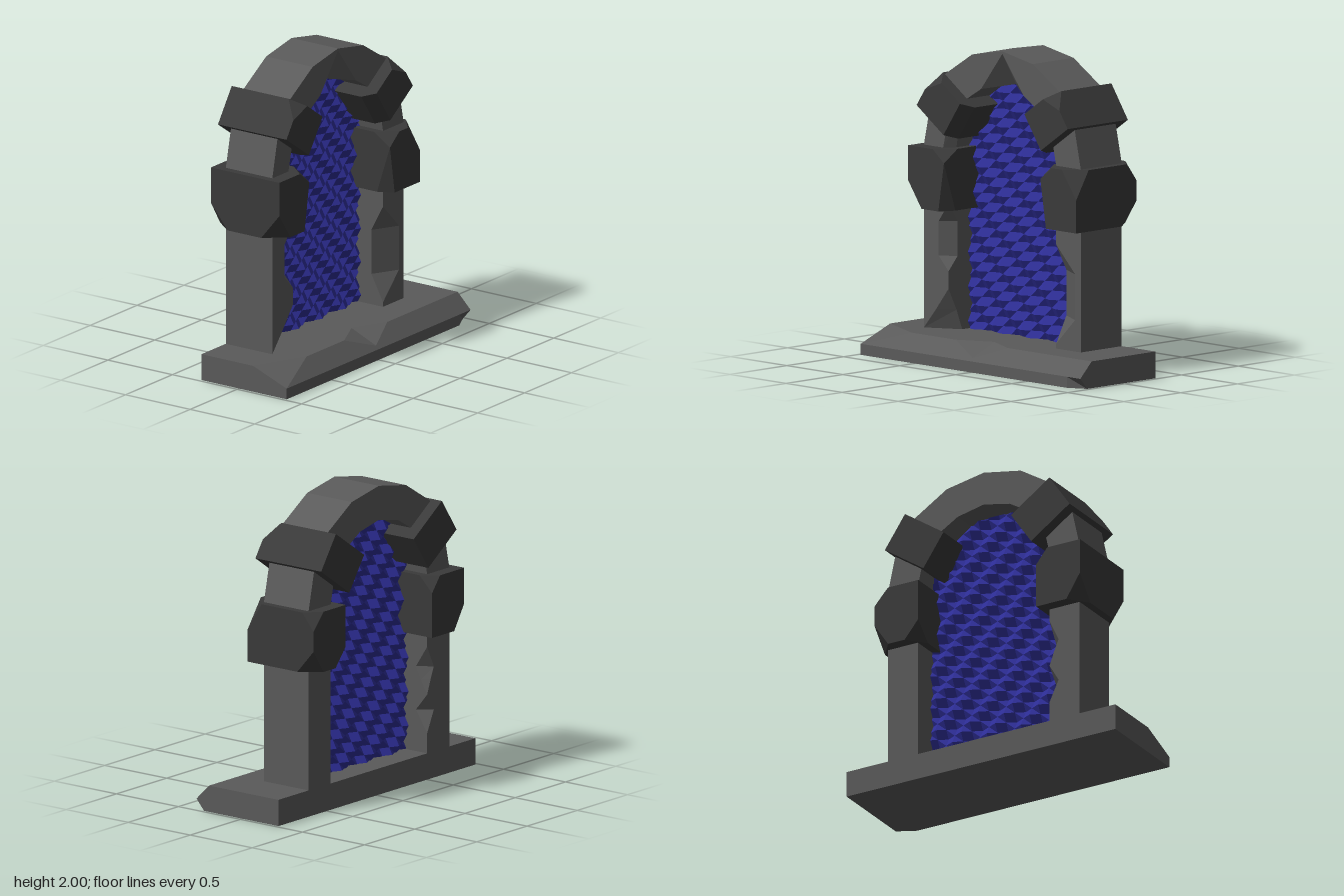
import * as THREE from 'three';
import { ConvexGeometry } from 'three/addons/geometries/ConvexGeometry.js';

const mat = (color, side = THREE.FrontSide) =>
  new THREE.MeshStandardMaterial({ color, flatShading: true, side });
const stone = mat(0x5a5a5a), darkStone = mat(0x3a3a3a);
const water = mat(0x2e2e98, THREE.DoubleSide);

const CX = -0.02, BACK = -0.29, FRONT = 0.07, SPRING = 1.33, FLOOR = 0.17;

function mesh(name, geometry, material) {
  const m = new THREE.Mesh(geometry, material);
  m.name = name;
  return m;
}

function buildGeometry(triangles) {
  const g = new THREE.BufferGeometry();
  g.setAttribute('position', new THREE.Float32BufferAttribute(triangles.flat(2), 3));
  g.computeVertexNormals();
  return g;
}

// Skin a row of equal-sized rings and cap both ends
function loft(rings) {
  const tris = [], n = rings[0].length;
  for (let i = 0; i < rings.length - 1; i++) {
    for (let j = 0; j < n; j++) {
      const k = (j + 1) % n;
      const a = rings[i][j], b = rings[i][k], c = rings[i + 1][k], d = rings[i + 1][j];
      tris.push([a, b, c], [a, c, d]);
    }
  }
  const first = rings[0], last = rings[rings.length - 1];
  for (let j = 1; j < n - 1; j++) {
    tris.push([first[0], first[j + 1], first[j]], [last[0], last[j], last[j + 1]]);
  }
  return buildGeometry(tris);
}

// Box with chipped corners; chip = [signX, signY, signZ, cutX, cutY, cutZ]
function chippedBlock(w, h, d, chips, mirror) {
  const points = [];
  for (const sx of [-1, 1]) for (const sy of [-1, 1]) for (const sz of [-1, 1]) {
    const p = [sx * w / 2, sy * h / 2, sz * d / 2];
    const chip = chips.find(c => c[0] === sx && c[1] === sy && c[2] === sz);
    const corners = [];
    if (!chip) corners.push(p);
    else for (let axis = 0; axis < 3; axis++) {
      if (!chip[3 + axis]) continue;
      const q = [...p];
      q[axis] -= chip[axis] * chip[3 + axis];
      corners.push(q);
    }
    for (const q of corners) points.push(new THREE.Vector3(q[0] * mirror, q[1], q[2]));
  }
  return new ConvexGeometry(points);
}

// Base slab: sections along x, [x, topZ, midY, midZ, bottomZ]
function baseSlab() {
  const rows = [
    [-0.98, 0.11, 0.07, 0.37, 0.37],
    [-0.63, 0.27, FLOOR, 0.27, 0.37],
    [-0.23, 0.27, FLOOR, 0.27, 0.37],
    [0, 0.16, 0.09, 0.35, 0.37],
    [0.23, 0.27, FLOOR, 0.27, 0.37],
    [0.86, 0.27, FLOOR, 0.27, 0.37],
    [0.98, 0.27, FLOOR, 0.27, 0.31],
  ];
  return loft(rows.map(([x, topZ, midY, midZ, bottomZ]) => [
    [x, FLOOR, BACK], [x, FLOOR, topZ], [x, midY, midZ],
    [x, 0.07, 0.37], [x, 0, bottomZ], [x, 0, BACK],
  ]));
}

// Arch ring: offsets from the spring line centre
const outerArc = [[0.7, 0], [0.64, 0.27], [0.51, 0.47], [0.27, 0.62], [0, 0.67]];
const innerArc = [[0.48, 0], [0.44, 0.18], [0.34, 0.32], [0.19, 0.41], [0, 0.45]];

function archRing() {
  // chip = [front share of the width, front depth, back share, back depth]
  const section = (o, i, [fc, fd, bc, bd] = [0, 0, 0, 0]) => {
    const mix = t => [i[0] + (o[0] - i[0]) * t, i[1] + (o[1] - i[1]) * t];
    return [
      [...o, BACK], [...o, FRONT], [...mix(fc), FRONT],
      [...i, FRONT - fd], [...i, BACK + bd], [...mix(bc), BACK],
    ];
  };
  const pillar = (s, rows) => rows.map(([y, ...chip]) =>
    section([CX + s * 0.7, y], [CX + s * 0.48, y], chip));
  const arc = (s, k, chip) => section(
    [CX + s * outerArc[k][0], SPRING + outerArc[k][1]],
    [CX + s * innerArc[k][0], SPRING + innerArc[k][1]], chip);
  const left = pillar(-1, [
    [0.17, 1, 0.12, 0, 0], [0.3, 0.5, 0.07, 0, 0], [0.44, 0, 0, 0.3, 0.09],
    [0.55, 0, 0, 0, 0], [0.64, 0.4, 0.08, 0.15, 0.05], [0.72, 0.4, 0.08, 0.3, 0.09],
    [0.86, 0.4, 0.08, 0, 0], [0.98, 0, 0, 0, 0], [1.2, 0.2, 0.06, 0, 0],
  ]);
  const right = pillar(1, [
    [1.2, 0, 0, 0, 0], [0.83, 0, 0, 0, 0], [0.66, 0.77, 0.09, 0, 0],
    [0.37, 0.77, 0.09, 0, 0], [0.2, 0, 0, 0, 0], [0.17, 0, 0, 0, 0],
  ]);
  return loft([
    ...left,
    arc(-1, 0, [0.22, 0.07, 0, 0]), arc(-1, 1, [0.2, 0.06, 0, 0]), arc(-1, 2), arc(-1, 3),
    arc(1, 4, [0.93, 0.12, 0, 0]),
    arc(1, 3), arc(1, 2), arc(1, 1), arc(1, 0),
    ...right,
  ]);
}

// Height of the opening at x
function openingTop(x) {
  const u = Math.min(Math.abs(x - CX), 0.48);
  for (let k = 0; k < 4; k++) {
    const [x0, y0] = innerArc[k], [x1, y1] = innerArc[k + 1];
    if (u >= x1) return SPRING + y0 + (y1 - y0) * (x0 - u) / (x0 - x1);
  }
  return SPRING;
}

// Rippled sheet with diagonal steps, trimmed inside the arch
function ripples() {
  const cols = 16, rows = 30, dx = 1 / cols, dy = 0.055, tris = [];
  const limit = i => openingTop(-0.52 + i * dx) + 0.04;
  const point = (i, j) => [
    -0.52 + i * dx,
    Math.min(FLOOR - 0.01 + j * dy, limit(i)),
    -0.12 + 0.03 * Math.sin((i + j) * Math.PI / 2),
  ];
  for (let i = 0; i < cols; i++) for (let j = 0; j < rows; j++) {
    if (FLOOR - 0.01 + j * dy > Math.max(limit(i), limit(i + 1))) continue;
    const a = point(i, j), b = point(i + 1, j), c = point(i + 1, j + 1), d = point(i, j + 1);
    tris.push([a, b, c], [a, c, d]);
  }
  return buildGeometry(tris);
}

export function createModel() {
  const group = new THREE.Group();
  group.add(mesh('baseSlab', baseSlab(), stone));
  group.add(mesh('archRing', archRing(), stone));
  group.add(mesh('waterSheet', ripples(), water));

  // Side blocks; chips are given with +x pointing outward
  const innerEdge = [[-1, -1, 1, 0.05, 0, 0.1], [-1, 1, 1, 0.1, 0.08, 0.12]];
  const lowerChips = {
    1: [...innerEdge, [1, 1, 1, 0.13, 0.18, 0.11], [1, 1, -1, 0.1, 0.11, 0.09],
      [1, -1, -1, 0.1, 0.15, 0.13], [-1, -1, -1, 0.1, 0.12, 0.12]],
    [-1]: [...innerEdge, [1, -1, 1, 0.12, 0.17, 0.14], [1, -1, -1, 0.1, 0.16, 0.13],
      [-1, 1, -1, 0.08, 0.1, 0.1]],
  };
  const upperChips = [
    [-1, -1, 1, 0.05, 0, 0.09], [-1, 1, 1, 0.05, 0, 0.09], [1, 1, 1, 0.09, 0.13, 0.09],
  ];
  for (const s of [1, -1]) {
    const side = s > 0 ? 'left' : 'right';
    const lower = mesh(side + 'LowerBlock', chippedBlock(0.32, 0.39, 0.53, lowerChips[s], s), darkStone);
    lower.position.set(CX + s * 0.59, 1.135, -0.105);
    const upper = mesh(side + 'UpperBlock', chippedBlock(0.34, 0.26, 0.53, upperChips, s), darkStone);
    upper.position.set(CX + s * 0.46, 1.605, -0.105);
    upper.rotation.z = s * 0.6;
    group.add(lower, upper);
  }
  // Centre the depth
  for (const part of group.children) part.position.z += 0;
  return group;
}
